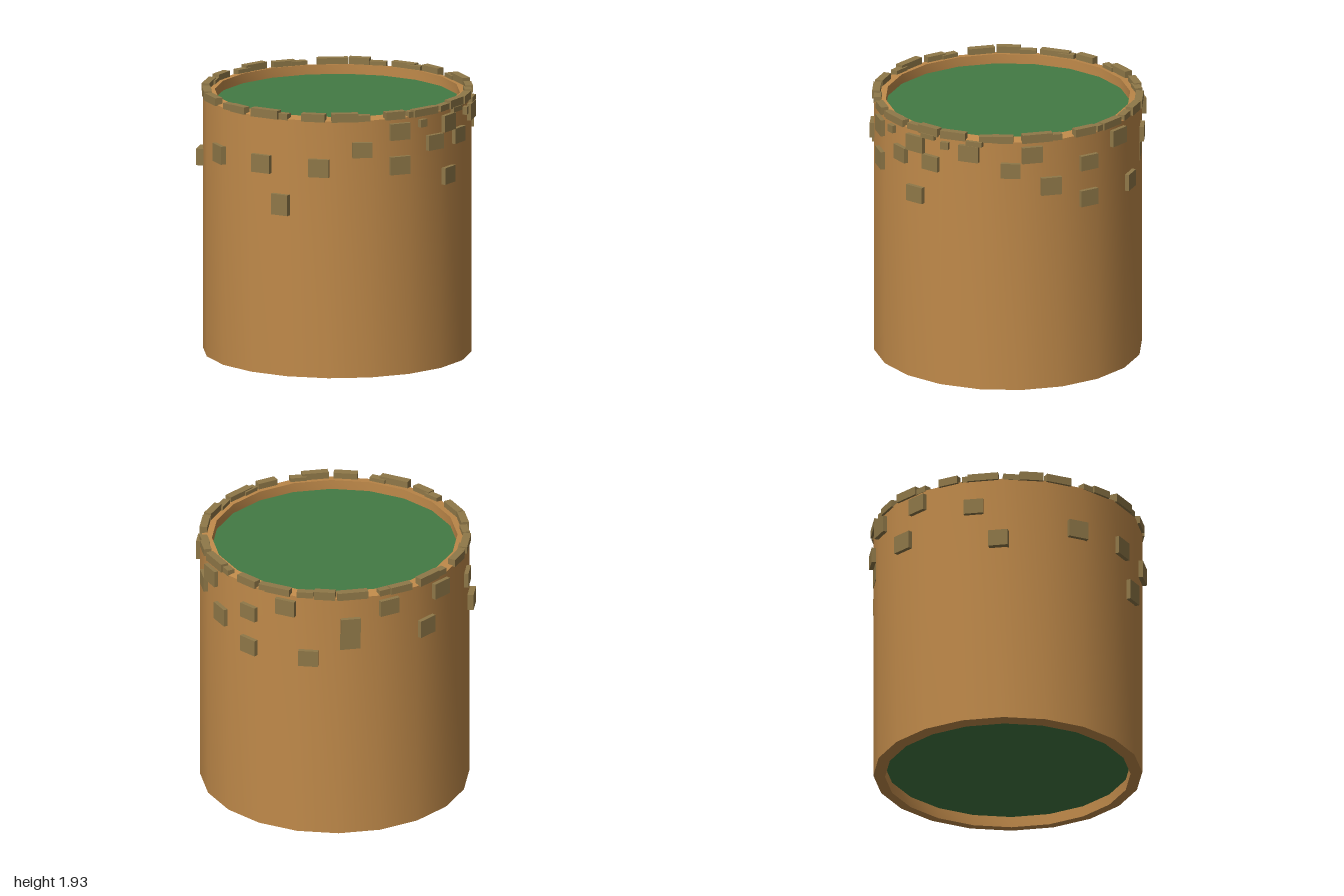
import * as THREE from 'three';
import { toCreasedNormals } from 'three/addons/utils/BufferGeometryUtils.js';

const SIDES = 20, STEP = 360 / SIDES;
const R = 0.953, INNER = 0.87;
const APOTHEM = R * Math.cos(Math.PI / SIDES);
const rad = THREE.MathUtils.degToRad;

export function createModel() {
  const group = new THREE.Group();
  const body = new THREE.Group();
  body.name = 'drum';
  body.position.x = 0.012;
  group.add(body);

  const wood = new THREE.MeshStandardMaterial({ color: 0xc08a4a });
  const stone = new THREE.MeshStandardMaterial({ color: 0x8f7848 });
  const green = new THREE.MeshStandardMaterial({ color: 0x437a44 });

  // Hollow wall with gently sloped rims
  const profile = [
    [INNER, 0.09], [INNER, 0], [R, 0.012], [R, 1.875], [INNER, 1.89], [INNER, 1.81],
  ].map(([x, y]) => new THREE.Vector2(x, y));
  const wall = new THREE.Mesh(toCreasedNormals(new THREE.LatheGeometry(profile, SIDES), 0.5), wood);
  wall.name = 'wall';
  body.add(wall);

  // Green core, recessed at both ends
  const core = new THREE.Mesh(new THREE.CylinderGeometry(INNER + 0.002, INNER + 0.002, 1.74, SIDES), green);
  core.name = 'greenCore';
  core.position.y = 0.95;
  body.add(core);

  // A block at angle theta (0 = front, 90 = +x), lying flat against its facet
  function addBlock(name, theta, y0, y1, width, outer, inner) {
    const facet = STEP * Math.floor(theta / STEP) + STEP / 2;
    const pivot = new THREE.Group();
    pivot.name = name;
    pivot.rotation.y = rad(facet);
    const block = new THREE.Mesh(new THREE.BoxGeometry(width, y1 - y0, outer - inner), stone);
    block.name = name + 'Block';
    block.position.set(APOTHEM * Math.tan(rad(theta - facet)), (y0 + y1) / 2, (outer + inner) / 2);
    pivot.add(block);
    body.add(pivot);
  }

  // Scattered bricks: rows of [bottom, top, width, angles]
  const rows = [
    [1.72, 1.84, 0.15, [31.5, 59, 85.5, 112.5, 157, 202, 230]],
    [1.61, 1.72, 0.14, [14.5, 50, 67.5, 103.5, 139, 185, 257]],
    [1.47, 1.60, 0.15, [-57, -30.5, -4, 31.5, 121, 221]],
    [1.34, 1.46, 0.14, [59, 139, 167]],
    [1.18, 1.33, 0.135, [-21]],
    [1.79, 1.845, 0.06, [43, 74.5]],
  ];
  for (const [y0, y1, width, angles] of rows)
    for (const a of angles) addBlock('wallBrick', a, y0, y1, width, 0.972, 0.92);
  addBlock('wallBrick', 268, 1.34, 1.46, 0.14, 0.985, 0.92);
  addBlock('wallBrick', 185, 1.47, 1.60, 0.15, 0.945, 0.92);

  // Uneven ring of capping stones along the upper rim
  const shifts = [-2, 2.5, 0, 3, -3, 1];
  const widths = [0.19, 0.15, 0.22, 0.17];
  for (let i = 0; i < SIDES; i++) {
    const mid = i * STEP + STEP / 2, shift = shifts[i % 6];
    addBlock('rimStone', mid + shift, 1.868, 1.93 - (i % 3) * 0.005, widths[i % 4], 0.96, 0.905);
    if (i % 3 !== 1)
      addBlock('rimChip', mid - (shift < 0 ? -5.5 : 5.5), 1.868, 1.912, 0.12, 0.945, 0.892);
  }
  // Low chips hanging just under the rim
  for (const a of [66, 88]) addBlock('rimChip', a, 1.84, 1.875, 0.12, 0.968, 0.92);

  return group;
}
